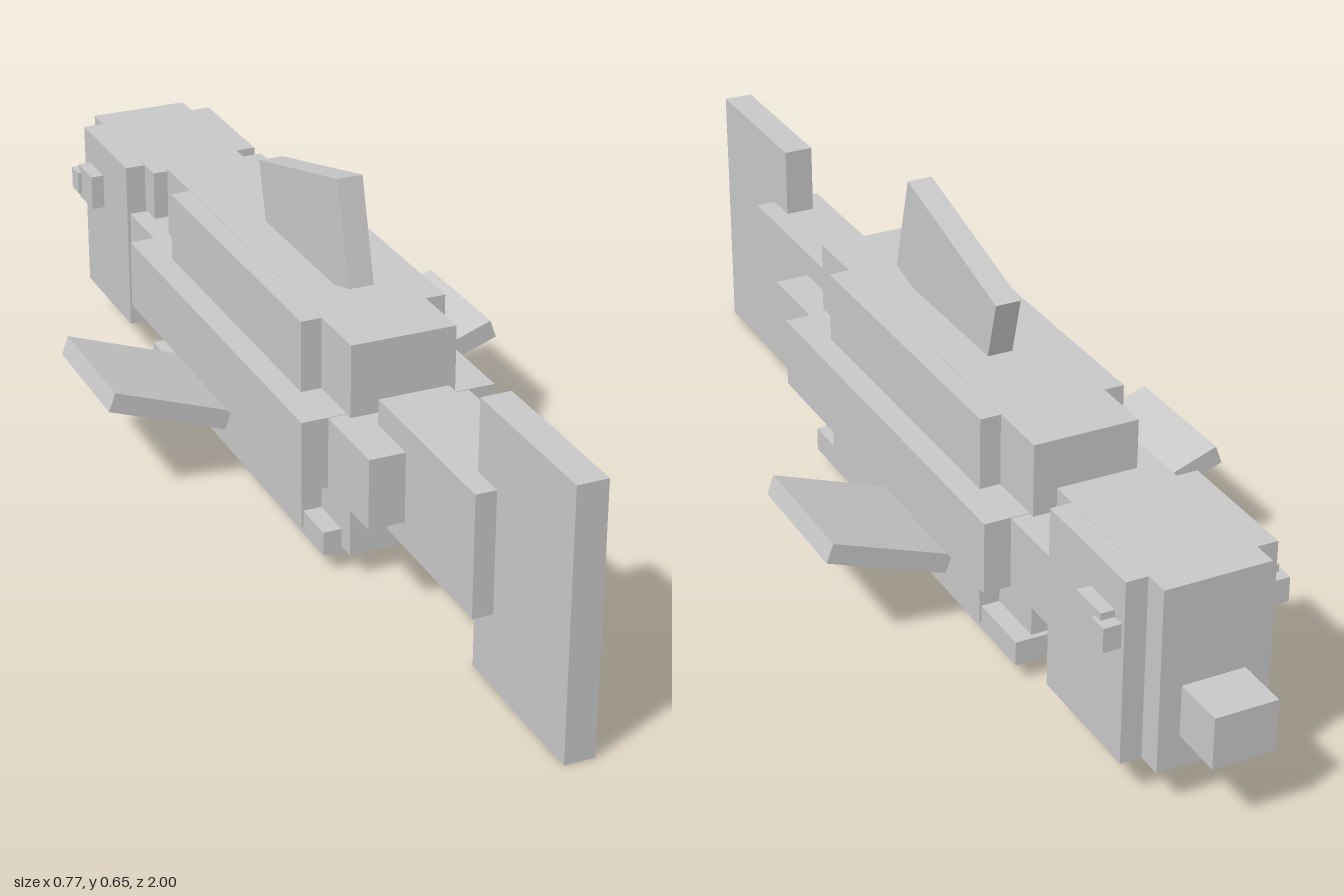
import * as THREE from 'three';

const grey = new THREE.MeshStandardMaterial({ color: 0xc8c8c8 });
grey.name = 'grey';

// Box from half width and its y and z ranges, centred on x unless moved
function box(name, halfWidth, y0, y1, z0, z1, x = 0) {
  const mesh = new THREE.Mesh(new THREE.BoxGeometry(halfWidth * 2, y1 - y0, z1 - z0), grey);
  mesh.name = name;
  mesh.position.set(x, (y0 + y1) / 2, (z0 + z1) / 2);
  return mesh;
}

export function createModel() {
  const fish = new THREE.Group();
  fish.name = 'fish';

  // Tail at the +z end
  fish.add(
    box('tailFin', 0.0275, 0, 0.488, 0.69, 1),
    box('tailStalk', 0.065, 0.133, 0.357, 0.4, 0.755)
  );

  // Body: stepped pairs of boxes give notched corners
  fish.add(
    box('bodyCore', 0.131, 0.18, 0.31, -0.605, 0.507),
    box('bodySides', 0.18, 0.179, 0.311, -0.473, 0.345),
    box('bodyWide', 0.135, 0.047, 0.443, -0.368, 0.24),
    box('bodyLong', 0.097, 0.046, 0.444, -0.485, 0.36),
    box('belly', 0.131, 0.035, 0.08, -0.495, 0.325)
  );

  // Head and snout at the -z end
  fish.add(
    box('headWide', 0.135, 0.07, 0.404, -0.855, -0.612),
    box('headLong', 0.096, 0.069, 0.405, -0.902, -0.563),
    box('snout', 0.057, 0.128, 0.222, -1, -0.88)
  );

  // Back fin, tilted along the body
  const backFin = new THREE.Mesh(new THREE.BoxGeometry(0.047, 0.191, 0.357), grey);
  backFin.name = 'backFin';
  backFin.position.set(0, 0.507, -0.008);
  backFin.rotation.x = -Math.PI / 12;
  fish.add(backFin);

  // Eyes and side fins, mirrored
  for (const [side, s] of [['left', 1], ['right', -1]]) {
    fish.add(
      box(side + 'Eye', 0.02, 0.27, 0.338, -0.825, -0.748, s * 0.14),
      box(side + 'Pupil', 0.02, 0.281, 0.325, -0.847, -0.81, s * 0.147)
    );
    const fin = new THREE.Mesh(new THREE.BoxGeometry(0.235, 0.037, 0.255), grey);
    fin.name = side + 'SideFin';
    fin.position.set(s * 0.267, 0.17, -0.167);
    fin.rotation.z = s * Math.PI / 9;
    fish.add(fin);
  }

  return fish;
}
